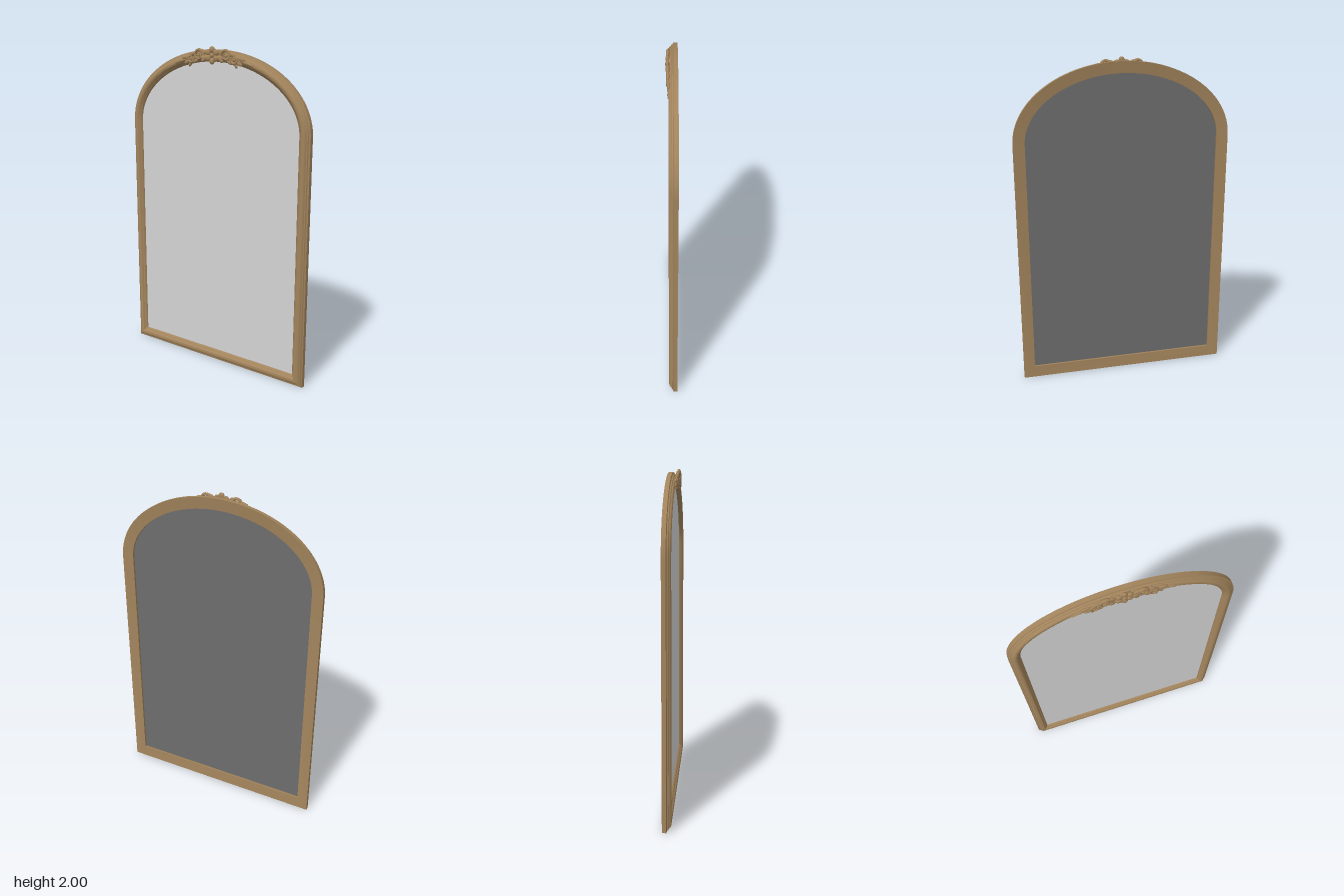
import * as THREE from 'three';
import { toCreasedNormals } from 'three/addons/utils/BufferGeometryUtils.js';

const HALF_W = 0.652, SPRING = 1.52, RISE = 0.46;

// Outer outline, counter-clockwise, each point with its inward mitre direction
function outline() {
  const pts = [
    { x: -HALF_W, y: 0, nx: 1, ny: 1 },
    { x: HALF_W, y: 0, nx: -1, ny: 1 },
  ];
  const steps = 64;
  for (let i = 0; i <= steps; i++) {
    const a = (i / steps) * Math.PI;
    const c = Math.cos(a), s = Math.sin(a);
    const len = Math.hypot(c / HALF_W, s / RISE);
    pts.push({
      x: HALF_W * c, y: SPRING + RISE * s,
      nx: -c / HALF_W / len, ny: -s / RISE / len,
    });
  }
  return pts;
}

// Moulding section: [distance inward from the outer edge, z]
const SECTION = [
  [0, -0.035], [0, -0.01], [0.009, -0.006], [0.012, 0.001], [0.018, 0.003],
  [0.022, 0.01], [0.028, 0.015], [0.037, 0.017], [0.046, 0.015], [0.052, 0.011],
  [0.056, 0.005], [0.064, 0.001], [0.069, -0.005], [0.069, -0.027],
];

// Sweep the moulding section round the outline
function frameGeometry(path) {
  const pos = [];
  const at = (p, [d, z]) => [p.x + p.nx * d, p.y + p.ny * d, z];
  path.forEach((p, i) => {
    const q = path[(i + 1) % path.length];
    SECTION.forEach((s, j) => {
      const t = SECTION[(j + 1) % SECTION.length];
      const a = at(p, s), b = at(q, s), c = at(q, t), d = at(p, t);
      pos.push(...a, ...b, ...c, ...a, ...c, ...d);
    });
  });
  const geo = new THREE.BufferGeometry();
  geo.setAttribute('position', new THREE.Float32BufferAttribute(pos, 3));
  return toCreasedNormals(geo, 0.7);
}

// Tube whose radius changes from r0 to r1 along its path
function taperedTube(points, r0, r1) {
  const curve = new THREE.CatmullRomCurve3(points);
  const rows = 40, sides = 8;
  const geo = new THREE.TubeGeometry(curve, rows, 1, sides);
  const pos = geo.attributes.position, v = new THREE.Vector3();
  for (let i = 0; i <= rows; i++) {
    const c = curve.getPointAt(i / rows);
    const r = THREE.MathUtils.lerp(r0, r1, i / rows);
    for (let j = 0; j <= sides; j++) {
      const k = i * (sides + 1) + j;
      v.fromBufferAttribute(pos, k).sub(c).multiplyScalar(r).add(c);
      pos.setXYZ(k, v.x, v.y, v.z);
    }
  }
  return geo;
}

export function createModel() {
  const model = new THREE.Group();
  model.name = 'archedMirror';
  const wood = new THREE.MeshStandardMaterial({ color: 0xa2845c });
  wood.name = 'antique gold wood';
  const silver = new THREE.MeshStandardMaterial({ color: 0xd3d3d3 });
  silver.name = 'mirror silver';
  const backing = new THREE.MeshStandardMaterial({ color: 0x6d6d6d });
  backing.name = 'backing grey';

  const add = (parent, name, geo, mat) => {
    const mesh = new THREE.Mesh(geo, mat);
    mesh.name = name;
    parent.add(mesh);
    return mesh;
  };

  // Frame
  const path = outline();
  add(model, 'frame', frameGeometry(path), wood);

  // Mirror glass and backing panel
  const pane = new THREE.Shape(path.map(
    (p) => new THREE.Vector2(p.x + p.nx * 0.068, p.y + p.ny * 0.068)));
  const paneGeo = new THREE.ShapeGeometry(pane);
  add(model, 'glass', paneGeo, silver).position.z = -0.011;
  const back = add(model, 'backingPanel', paneGeo, backing);
  back.rotation.y = Math.PI;
  back.position.z = -0.014;

  // Crest ornament
  const crest = new THREE.Group();
  crest.name = 'crest';
  model.add(crest);
  const ball = new THREE.SphereGeometry(1, 14, 10);
  const blob = (name, x, y, z, sx, sy, sz, angle = 0) => {
    const m = add(crest, name, ball, wood);
    m.position.set(x, y, z);
    m.scale.set(sx, sy, sz);
    m.rotation.z = angle;
  };

  // Central rosette
  const cy = 1.948;
  const disc = add(crest, 'rosetteBase', new THREE.CylinderGeometry(0.036, 0.04, 0.014, 24), wood);
  disc.rotation.x = Math.PI / 2;
  disc.position.set(0, cy, 0.015);
  for (let i = 0; i < 6; i++) {
    const a = Math.PI / 2 + (i * Math.PI) / 3;
    blob('rosettePetal', 0.033 * Math.cos(a), cy + 0.033 * Math.sin(a), 0.022, 0.019, 0.0185, 0.011, a);
  }
  blob('rosetteCentre', 0, cy, 0.026, 0.014, 0.014, 0.009);

  // Scrolls and leaves, mirrored on each side
  for (const s of [1, -1]) {
    const scroll = (name, x, y, r, start, turns, dir, z) => {
      const pts = [];
      for (let i = 0; i <= 24; i++) {
        const t = i / 24, a = start + dir * t * turns * Math.PI * 2;
        const rad = r * (1 - 0.72 * t);
        pts.push(new THREE.Vector3(s * (x + rad * Math.cos(a)), y + rad * Math.sin(a), z));
      }
      add(crest, name, taperedTube(pts, 0.0105, 0.006), wood);
      blob(name + 'Eye', s * x, y, z, 0.011, 0.011, 0.009);
    };
    scroll('largeScroll', 0.098, 1.947, 0.035, Math.PI, 1.4, -1, 0.021);
    scroll('smallScroll', 0.158, 1.926, 0.026, Math.PI * 0.8, 1.3, 1, 0.02);

    // [x, y, length, width, angle, z]
    const leaves = [
      [0.06, 1.925, 0.024, 0.013, -0.7, 0.021],
      [0.062, 1.968, 0.022, 0.011, 0.5, 0.021],
      [0.125, 1.912, 0.026, 0.011, -0.4, 0.019],
      [0.145, 1.953, 0.026, 0.011, -0.4, 0.019],
      [0.165, 1.896, 0.02, 0.01, -1.1, 0.016],
      [0.188, 1.906, 0.024, 0.011, -0.5, 0.016],
      [0.204, 1.93, 0.028, 0.011, -0.2, 0.016],
      [0.228, 1.912, 0.028, 0.01, -0.3, 0.015],
      [0.258, 1.903, 0.028, 0.008, -0.35, 0.015],
    ];
    for (const [x, y, l, w, a, z] of leaves) blob('leaf', s * x, y, z, l, w, 0.008, s * a);

    // Stem running along the arch
    add(crest, 'stem', taperedTube([
      new THREE.Vector3(s * 0.035, 1.935, 0.018),
      new THREE.Vector3(s * 0.12, 1.93, 0.018),
      new THREE.Vector3(s * 0.2, 1.917, 0.016),
      new THREE.Vector3(s * 0.285, 1.895, 0.014),
    ], 0.011, 0.003), wood);
  }
  return model;
}
